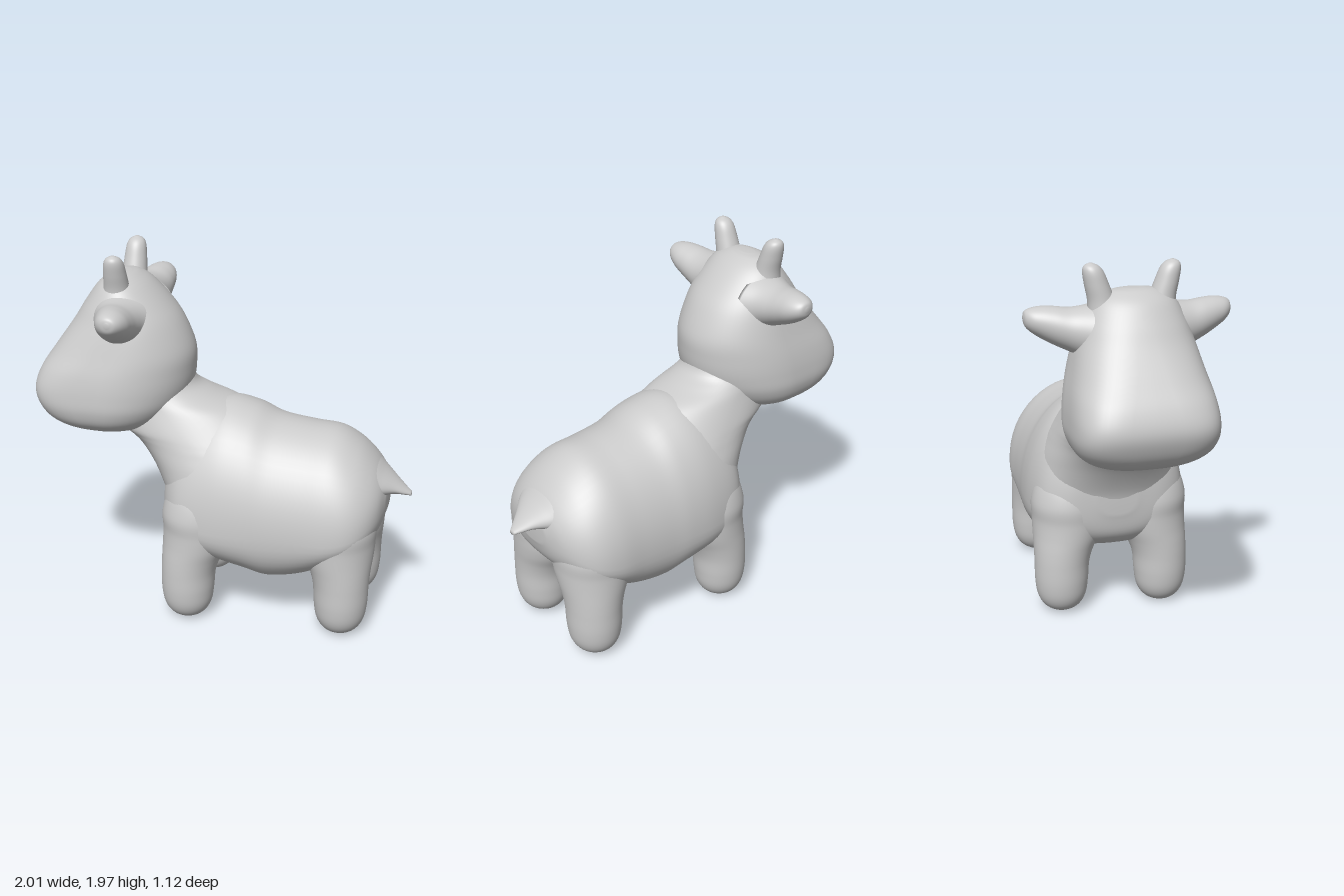
import * as THREE from 'three';

const material = new THREE.MeshStandardMaterial({ color: 0xcccccc });
const SIDES = 56;

// Smoothly resample rows of section measurements.
function refine(rows, steps = 6) {
  const curve = new THREE.CubicInterpolant(rows.map((_, i) => i), rows.flat(), rows[0].length);
  const out = [];
  for (let i = 0; i <= (rows.length - 1) * steps; i++) out.push(Array.from(curve.evaluate(i / steps)));
  return out;
}

// Skin a closed solid over cross-sections; ring(row, cos, sin) returns one point.
function loft(name, rows, ring) {
  const sections = refine(rows);
  const pos = [], index = [], n = sections.length;
  for (const row of sections) {
    for (let j = 0; j < SIDES; j++) {
      const a = (j / SIDES) * Math.PI * 2;
      pos.push(...ring(row, Math.cos(a), Math.sin(a)));
    }
  }
  for (let i = 0; i < n - 1; i++) {
    for (let j = 0; j < SIDES; j++) {
      const k = (j + 1) % SIDES, a = i * SIDES, b = a + SIDES;
      index.push(a + j, a + k, b + j, a + k, b + k, b + j);
    }
  }
  // End caps
  for (const [start, flip] of [[0, false], [(n - 1) * SIDES, true]]) {
    const centre = pos.length / 3;
    for (let c = 0; c < 3; c++) {
      let sum = 0;
      for (let j = 0; j < SIDES; j++) sum += pos[(start + j) * 3 + c];
      pos.push(sum / SIDES);
    }
    for (let j = 0; j < SIDES; j++) {
      const p = start + j, q = start + ((j + 1) % SIDES);
      index.push(centre, flip ? p : q, flip ? q : p);
    }
  }
  // Turn the faces outward if the enclosed volume is negative
  const pt = i => new THREE.Vector3().fromArray(pos, i * 3);
  let volume = 0;
  for (let i = 0; i < index.length; i += 3) volume += pt(index[i]).dot(pt(index[i + 1]).cross(pt(index[i + 2])));
  if (volume < 0) index.reverse();

  const geometry = new THREE.BufferGeometry();
  geometry.setAttribute('position', new THREE.Float32BufferAttribute(pos, 3));
  geometry.setIndex(index);
  geometry.computeVertexNormals();
  const mesh = new THREE.Mesh(geometry, material);
  mesh.name = name;
  return mesh;
}

const power = (v, e) => Math.sign(v) * Math.abs(v) ** e;

// Horizontal slice: [y, front, back, half width, squareness of the front]
const slice = ([y, front, back, w, n], c, s) => {
  const e = c < 0 ? 2 / n : 1;
  return [(front + back) / 2 + power(c, e) * (back - front) / 2, y, power(s, e) * w];
};

// Upright slice with a squarer underside: [x, bottom, widest height, top, half width]
const trunkSlice = ([x, bottom, mid, top, w], c, s) => {
  const e = s < 0 ? 0.84 : 1;
  return [x, mid + power(s, e) * (s > 0 ? top - mid : mid - bottom), power(c, e) * w];
};

export function createModel() {
  const model = new THREE.Group();
  model.name = 'calf';
  // The animal faces -x in its own frame and stands slightly turned
  const animal = new THREE.Group();
  animal.name = 'animal';
  animal.position.set(0.27, 0, -0.085);
  animal.rotation.y = 0.185;
  model.add(animal);

  animal.add(loft('body', [
    [-0.57, 0.58, 0.68, 0.78, 0.10],
    [-0.545, 0.46, 0.64, 0.92, 0.25],
    [-0.485, 0.39, 0.60, 1.05, 0.35],
    [-0.40, 0.35, 0.58, 1.14, 0.40],
    [-0.25, 0.32, 0.57, 1.19, 0.425],
    [-0.10, 0.275, 0.57, 1.165, 0.425],
    [0.03, 0.237, 0.57, 1.11, 0.415],
    [0.20, 0.275, 0.57, 1.085, 0.41],
    [0.35, 0.36, 0.57, 1.07, 0.41],
    [0.46, 0.43, 0.59, 1.01, 0.385],
    [0.54, 0.49, 0.63, 0.935, 0.325],
    [0.595, 0.56, 0.68, 0.86, 0.23],
    [0.625, 0.65, 0.72, 0.79, 0.10],
  ], trunkSlice));

  // Neck flowing down into the chest and shoulders
  animal.add(loft('neck', [
    [0.42, -0.46, -0.30, 0.12, 2],
    [0.47, -0.51, -0.20, 0.25, 2],
    [0.56, -0.55, -0.10, 0.35, 2.1],
    [0.70, -0.58, 0.00, 0.385, 2.2],
    [0.85, -0.655, 0.06, 0.36, 2.2],
    [0.95, -0.735, 0.06, 0.325, 2.2],
    [1.00, -0.80, 0.04, 0.305, 2.2],
    [1.05, -0.88, 0.00, 0.285, 2.2],
    [1.15, -0.92, -0.15, 0.245, 2.2],
    [1.21, -0.90, -0.33, 0.225, 2.2],
    [1.27, -0.88, -0.435, 0.21, 2.2],
    [1.40, -0.84, -0.47, 0.18, 2.2],
  ], slice));

  // Head with a broad, square muzzle and a rounded back
  const head = loft('head', [
    [1.008, -0.98, -0.78, 0.10, 2.2],
    [1.025, -1.11, -0.66, 0.24, 2.6],
    [1.08, -1.195, -0.56, 0.325, 3.3],
    [1.16, -1.245, -0.49, 0.36, 4],
    [1.25, -1.265, -0.45, 0.362, 4.2],
    [1.35, -1.235, -0.435, 0.35, 3.8],
    [1.46, -1.165, -0.44, 0.325, 3.1],
    [1.60, -1.07, -0.50, 0.29, 2.5],
    [1.70, -1.01, -0.575, 0.255, 2.2],
    [1.79, -0.945, -0.665, 0.20, 2],
    [1.835, -0.88, -0.735, 0.125, 2],
    [1.848, -0.84, -0.78, 0.05, 2],
  ], slice);
  head.position.z = 0.012;
  animal.add(head);

  for (const [side, s] of [['left', 1], ['right', -1]]) {
    // Legs: [y, radius, inward shift], swelling into shoulder and thigh
    for (const [end, x, z, broad, lean] of [['front', -0.41, 0.275, 1, 1], ['back', 0.425, 0.236, 1.06, -0.65]]) {
      animal.add(loft(`${end}Leg_${side}`, [
        [0.002, 0.02, 0],
        [0.012, 0.065, 0],
        [0.045, 0.106, 0],
        [0.10, 0.132, 0],
        [0.18, 0.143, 0],
        [0.28, 0.148, 0.004],
        [0.36, 0.162, 0.018],
        [0.44, 0.186, 0.042],
        [0.52, 0.20, 0.056],
        [0.62, 0.20, 0.055],
        [0.75, 0.175, 0.07],
        [0.88, 0.13, 0.11],
        [0.98, 0.07, 0.15],
      ], ([y, r, inward], c, n) => [x + lean * inward + c * r, y, s * (z - inward + n * r * broad)]));
    }

    // Horns: [y, distance from middle, radius]
    animal.add(loft(`horn_${side}`, [
      [1.70, 0.135, 0.085],
      [1.79, 0.15, 0.068],
      [1.87, 0.173, 0.06],
      [1.93, 0.19, 0.052],
      [1.96, 0.199, 0.037],
      [1.975, 0.203, 0.01],
    ], ([y, z, r], c, n) => [-0.81 + c * r, y, s * (z + n * r)]));

    // Ears flaring at the root: [distance from middle, x, y, half depth, half height]
    animal.add(loft(`ear_${side}`, [
      [0.15, -0.79, 1.61, 0.20, 0.17],
      [0.23, -0.785, 1.635, 0.15, 0.13],
      [0.30, -0.775, 1.65, 0.122, 0.108],
      [0.37, -0.765, 1.67, 0.106, 0.095],
      [0.43, -0.755, 1.687, 0.092, 0.08],
      [0.48, -0.75, 1.70, 0.072, 0.06],
      [0.51, -0.745, 1.708, 0.044, 0.038],
      [0.52, -0.742, 1.712, 0.01, 0.01],
    ], ([z, x, y, d, h], c, n) => [x + c * d * (c < 0 ? 0.9 : 1), y + n * h, s * z]));
  }

  // Short tapering tail: [x, y, half width, half height]
  animal.add(loft('tail', [
    [0.42, 0.81, 0.27, 0.19],
    [0.53, 0.81, 0.21, 0.125],
    [0.60, 0.80, 0.145, 0.07],
    [0.66, 0.78, 0.085, 0.038],
    [0.71, 0.755, 0.045, 0.021],
    [0.745, 0.738, 0.018, 0.01],
  ], ([x, y, w, h], c, s) => [x, y + s * h, c * w]));

  return model;
}
